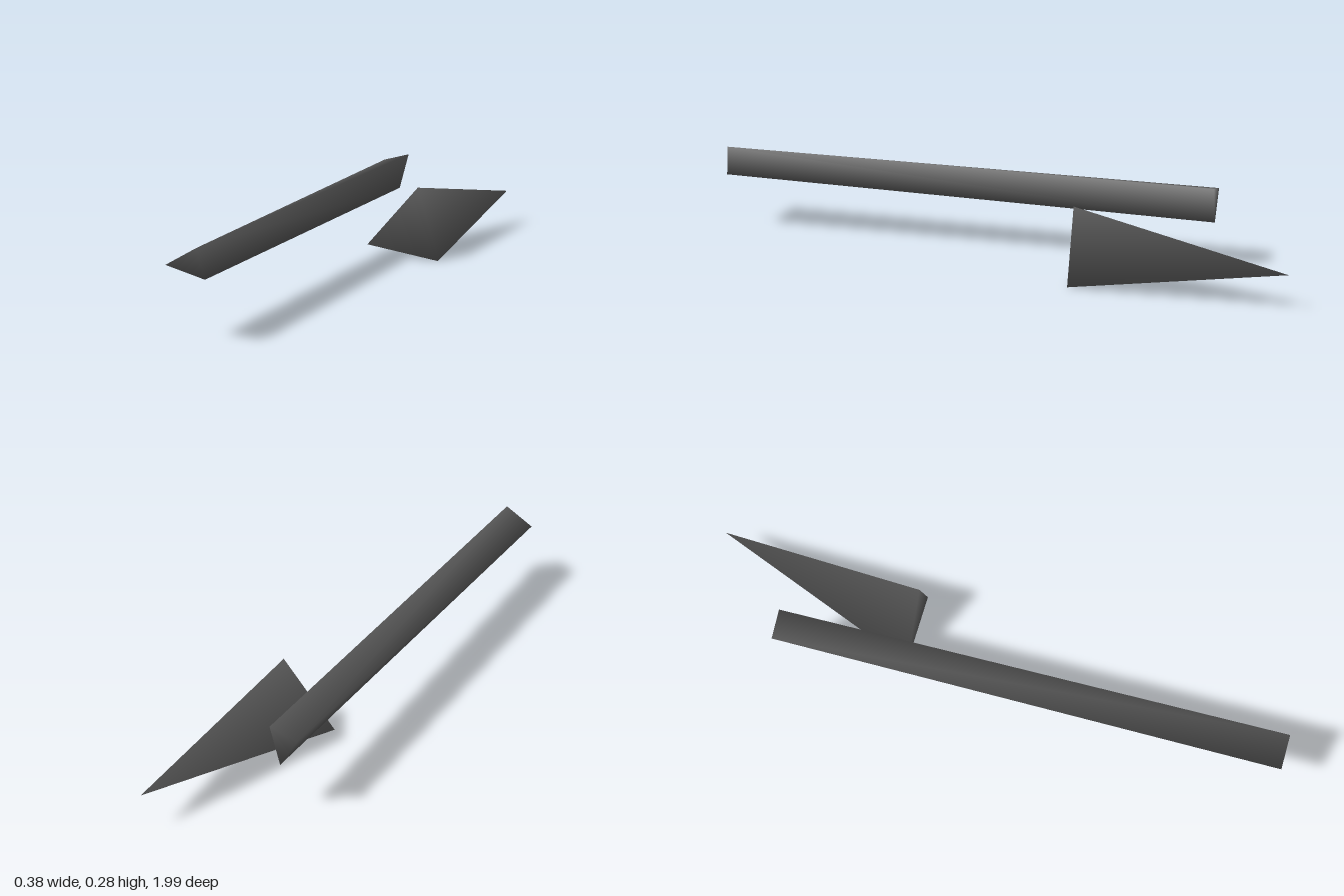
import * as THREE from 'three';

// Smooth-shaded solid from a few shared corners
function solid(name, corners, faces, material) {
  const geometry = new THREE.BufferGeometry();
  geometry.setAttribute('position', new THREE.Float32BufferAttribute(corners.flat(), 3));
  geometry.setIndex(faces.flat());
  geometry.computeVertexNormals();
  const mesh = new THREE.Mesh(geometry, material);
  mesh.name = name;
  return mesh;
}

export function createModel() {
  const group = new THREE.Group();
  group.name = 'arrow';
  const darkGrey = new THREE.MeshStandardMaterial({ color: 0x555555 });
  darkGrey.name = 'dark grey';

  // Long three-sided shaft, slightly twisted from end to end
  group.add(solid('shaft', [
    [-0.19, 0.23, 0.995], [-0.065, 0.196, 0.99], [-0.09, 0.288, 0.995],
    [-0.184, 0.262, -0.705], [-0.124, 0.162, -0.705], [-0.09, 0.288, -0.705],
  ], [
    [0, 1, 2], [5, 4, 3],
    [1, 0, 4], [0, 3, 4],
    [2, 1, 4], [2, 4, 5],
    [0, 2, 3], [2, 5, 3],
  ], darkGrey));

  // Three-sided pointed head with its tip to the back
  group.add(solid('head', [
    [-0.08, 0.04, -0.285], [0.18, 0.003, -0.285], [0.105, 0.253, -0.285],
    [0.19, 0.122, -0.995],
  ], [[0, 1, 2], [1, 0, 3], [2, 1, 3], [0, 2, 3]], darkGrey));

  return group;
}
